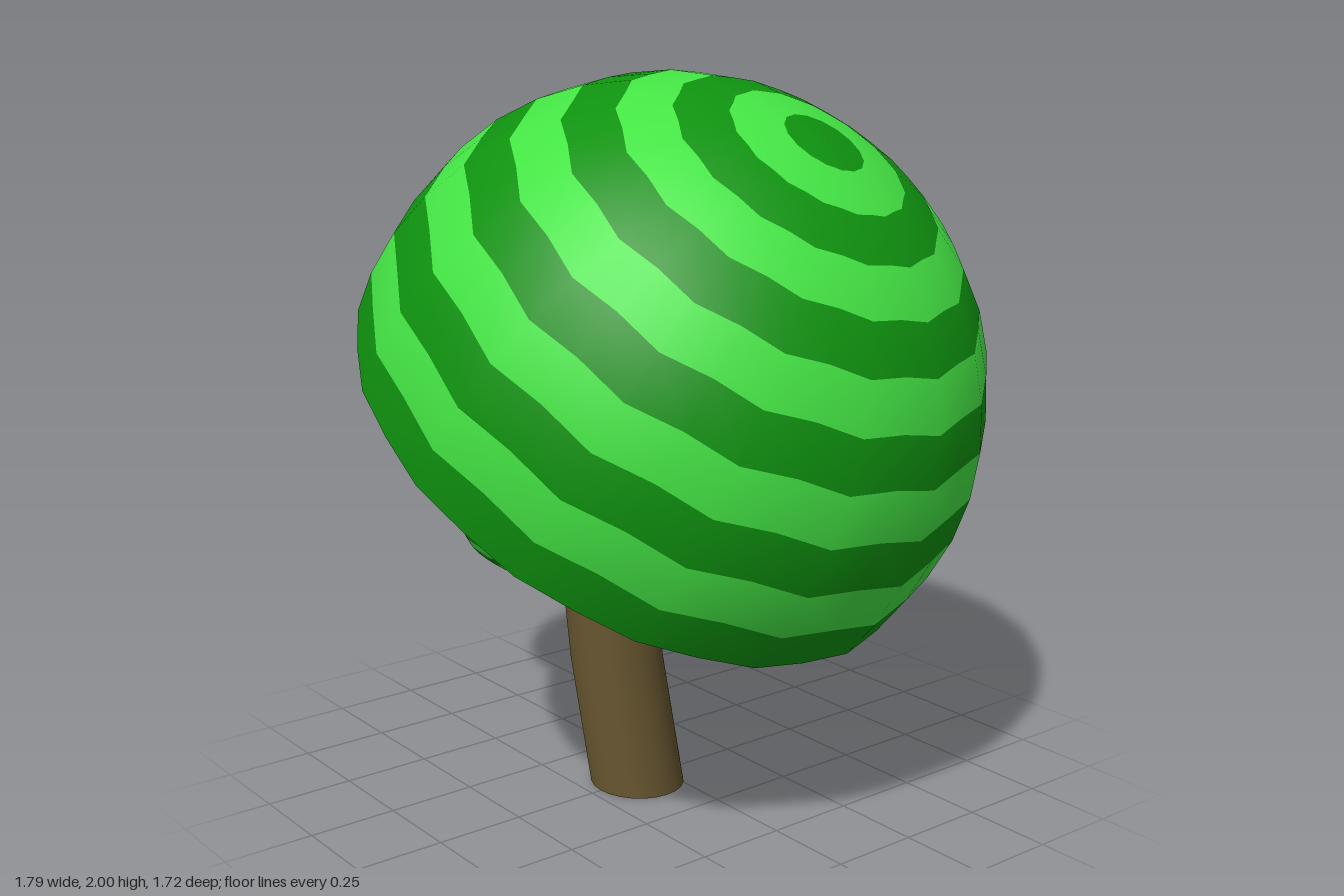
import * as THREE from 'three';

const SEGMENTS = 32;
const rad = THREE.MathUtils.degToRad;
const material = (color, side = THREE.FrontSide) => new THREE.MeshStandardMaterial({ color, side });

const bark = material(0x66552f, THREE.DoubleSide);
const lightGreen = material(0x44e444);
const darkGreen = material(0x0f920f);
const underGreen = material(0x0b8a0b, THREE.DoubleSide);

function addMesh(parent, name, geometry, mat) {
  const mesh = new THREE.Mesh(geometry, mat);
  mesh.name = name;
  parent.add(mesh);
  return mesh;
}

// Lathe with soft facets: even columns sit slightly inward, with a slight stripe wave
function facetedLathe(points, wave) {
  const geometry = new THREE.LatheGeometry(points, SEGMENTS);
  const position = geometry.attributes.position;
  const n = points.length;
  for (let v = 0; v < position.count; v++) {
    const corner = Math.floor(v / n) % 2 === 1;
    const row = v % n;
    const x = position.getX(v), y = position.getY(v), z = position.getZ(v);
    const r = Math.hypot(x, z);
    if (r < 1e-6) continue;
    const shift = row > 0 ? rad(corner ? wave : -wave) * r : 0;
    const k = (corner ? 1 : 0.99) * (r * Math.cos(shift) + y * Math.sin(shift)) / r;
    position.setXYZ(v, x * k, y * Math.cos(shift) - r * Math.sin(shift), z * k);
  }
  return geometry;
}

// Striped cap of unit radius, scaled and tilted into place.
// rim is the angle of the edge from the top, tip the half angle of the dark
// spot on top, bands the odd number of stripes.
function makeCap(name, radius, centre, axis, rim, tip, bands) {
  const cap = new THREE.Group();
  cap.name = name;

  const angles = [rim];
  for (let i = 0; i < bands; i++) angles.push(i < bands - 1 ? rim - 9 - (rim - 9 - tip) * i / (bands - 2) : 0);
  const profile = angles.map((a) => new THREE.Vector2(Math.sin(rad(a)), Math.cos(rad(a))));
  const dome = facetedLathe(profile, 0.45);
  const n = profile.length;
  const stripes = [[], []];
  for (let row = 0; row < n - 1; row++) {
    for (let i = 0; i < SEGMENTS; i++) {
      const a = i * n + row, b = a + n, c = b + 1, d = a + 1;
      stripes[row % 2].push(a, b, d, c, d, b);
    }
  }
  ['darkStripes', 'lightStripes'].forEach((label, i) => {
    const geometry = dome.clone();
    geometry.setIndex(stripes[i]);
    addMesh(cap, label, geometry, i ? lightGreen : darkGreen);
  });

  // Hollow underside with a rolled lip, heights measured from the rim
  const edge = profile[0];
  const under = [[0, 0.25], [0.3, 0.2], [0.6, 0.09], [0.78, 0], [0.88, -0.04], [0.95, -0.035], [1, 0]]
    .map(([x, y]) => new THREE.Vector2(x * edge.x, y + edge.y));
  addMesh(cap, 'underside', facetedLathe(under, 0), underGreen);

  cap.scale.setScalar(radius);
  cap.position.set(...centre);
  cap.quaternion.setFromUnitVectors(new THREE.Vector3(0, 1, 0), new THREE.Vector3(...axis).normalize());
  return cap;
}

// Bent trunk: an open cylinder whose rings slide along a curve
function makeTrunk() {
  const height = 1.35;
  const path = [[0, 0], [-0.095, 0.35], [-0.122, 0.52], [-0.122, 0.72], [-0.07, 1.05], [0.02, height]];
  const geometry = new THREE.CylinderGeometry(0.13, 0.13, height, 24, 27, true);
  geometry.translate(0, height / 2, 0);
  const position = geometry.attributes.position;
  for (let v = 0; v < position.count; v++) {
    const y = position.getY(v);
    let i = 0;
    while (i < path.length - 2 && y > path[i + 1][1]) i++;
    const [x0, y0] = path[i], [x1, y1] = path[i + 1];
    const x = THREE.MathUtils.lerp(x0, x1, (y - y0) / (y1 - y0));
    position.setX(v, position.getX(v) * 1.07 + x);
    position.setZ(v, position.getZ(v) + 0.09);
  }
  return geometry;
}

// Round branch with a closed outer end
function addBranch(parent, name, radius, points) {
  const curve = new THREE.CatmullRomCurve3(points.map((p) => new THREE.Vector3(...p)));
  const branch = new THREE.Group();
  branch.name = name;
  addMesh(branch, 'stem', new THREE.TubeGeometry(curve, 16, radius, 12), bark);
  const end = addMesh(branch, 'stemEnd', new THREE.CircleGeometry(radius, 12), bark);
  end.position.copy(curve.getPoint(1));
  end.quaternion.setFromUnitVectors(new THREE.Vector3(0, 0, 1), curve.getTangent(1));
  parent.add(branch);
}

export function createModel() {
  const tree = new THREE.Group();
  tree.name = 'mushroomTree';

  addMesh(tree, 'trunk', makeTrunk(), bark);
  addBranch(tree, 'sideBranch', 0.053,
    [[-0.16, 0.51, 0.09], [-0.25, 0.66, 0.09], [-0.36, 0.83, 0.09], [-0.45, 0.925, 0.09], [-0.55, 1.01, 0.09]]);
  addBranch(tree, 'frontBranch', 0.028,
    [[-0.12, 0.77, 0.14], [-0.11, 0.81, 0.26], [-0.08, 0.88, 0.39]]);

  tree.add(makeCap('largeCap', 0.87, [0.03, 1.133, 0], [0.565, 0.815, -0.125], 99.5, 7.5, 11));
  tree.add(makeCap('sideCap', 0.348, [-0.553, 1.012, 0.095], [-0.71, 0.71, 0.09], 104, 16.5, 9));
  tree.add(makeCap('frontCap', 0.209, [-0.078, 0.875, 0.385], [0.22, 0.54, 0.81], 102, 7.5, 11));
  return tree;
}
